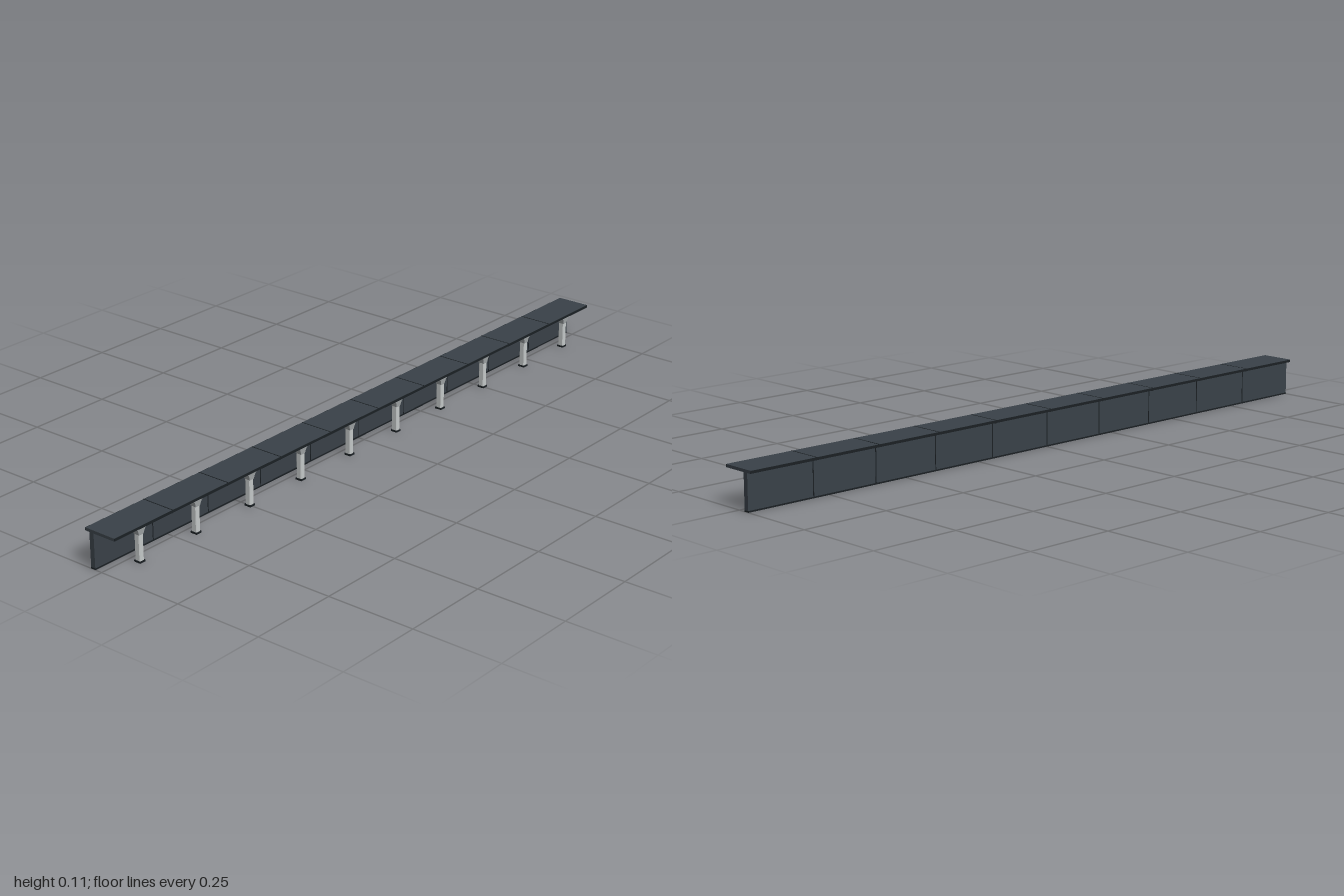
import * as THREE from 'three';

const mat = (name, color) => {
  const m = new THREE.MeshStandardMaterial({ color });
  m.name = name;
  return m;
};

export function createModel() {
  const slate = mat('slate panel', 0x394148);
  const dark = mat('dark trim', 0x1b2024);
  const pale = mat('pale stone', 0xc6caca);
  const grey = mat('grey stone', 0xa3a8aa);

  const root = new THREE.Group();
  root.name = 'colonnade';

  const add = (parent, name, geometry, material, x, y, z) => {
    const mesh = new THREE.Mesh(geometry, material);
    mesh.name = name;
    mesh.position.set(x, y, z);
    parent.add(mesh);
    return mesh;
  };
  const box = (parent, name, material, w, y0, y1, z0, z1, x = 0) =>
    add(parent, name, new THREE.BoxGeometry(w, y1 - y0, z1 - z0), material,
      x, (y0 + y1) / 2, (z0 + z1) / 2);

  // Square shaft with chamfered corners, standing on y = 0
  const shaftGeometry = (w, d, h, c) => {
    const a = w / 2, b = d / 2;
    const shape = new THREE.Shape([
      [a - c, -b], [a, c - b], [a, b - c], [a - c, b],
      [c - a, b], [-a, b - c], [-a, c - b], [c - a, -b],
    ].map(([x, y]) => new THREE.Vector2(x, y)));
    const g = new THREE.ExtrudeGeometry(shape, { depth: h, bevelEnabled: false });
    return g.rotateX(-Math.PI / 2);
  };

  // Box whose upper face is wider than its lower face
  const flareGeometry = (w0, d0, w1, d1, h) => {
    const g = new THREE.BoxGeometry(1, h, 1);
    const p = g.attributes.position;
    for (let i = 0; i < p.count; i++) {
      const top = p.getY(i) > 0;
      p.setX(i, p.getX(i) * (top ? w1 : w0));
      p.setZ(i, p.getZ(i) * (top ? d1 : d0));
    }
    g.computeVertexNormals();
    return g;
  };

  const shaft = shaftGeometry(0.015, 0.017, 0.074, 0.002);
  const neck = flareGeometry(0.015, 0.018, 0.024, 0.021, 0.014);
  const head = flareGeometry(0.024, 0.021, 0.046, 0.024, 0.009);

  // Ten equal bays, each with its roof panel, wall panel and pillar
  for (let i = 0; i < 10; i++) {
    const bay = new THREE.Group();
    bay.name = 'bay' + (i + 1);
    bay.position.x = -0.9 + i * 0.2;
    root.add(bay);

    box(bay, 'roofPanel', slate, 0.2, 0.1015, 0.106, -0.0485, 0.0485);
    box(bay, 'roofSoffit', slate, 0.2, 0.098, 0.1015, -0.0475, 0.0475);
    box(bay, 'wallPanel', slate, 0.2, 0.004, 0.098, -0.035, -0.021);
    box(bay, 'wallPlinth', dark, 0.2, 0, 0.004, -0.036, -0.02);

    const pillar = new THREE.Group();
    pillar.name = 'pillar';
    pillar.position.z = 0.03;
    bay.add(pillar);
    box(pillar, 'pillarBase', dark, 0.018, 0, 0.005, -0.01, 0.01);
    add(pillar, 'pillarShaft', shaft, pale, 0, 0.003, 0);
    add(pillar, 'capitalNeck', neck, grey, 0, 0.082, 0);
    add(pillar, 'capitalHead', head, grey, 0, 0.0935, 0);
  }

  // Dark edging along both long sides of the roof
  for (const s of [-1, 1]) {
    box(root, 'roofEdge', dark, 2, 0.0985, 0.1055, s * 0.0485 - 0.001, s * 0.0485 + 0.001);
  }

  // Thin joint strips between the bays
  for (let i = 1; i < 10; i++) {
    const x = -1 + i * 0.2;
    box(root, 'roofJoint', dark, 0.003, 0.0975, 0.1064, -0.0488, 0.0488, x);
    box(root, 'wallJoint', dark, 0.003, 0.004, 0.098, -0.0354, -0.0206, x);
  }
  return root;
}
